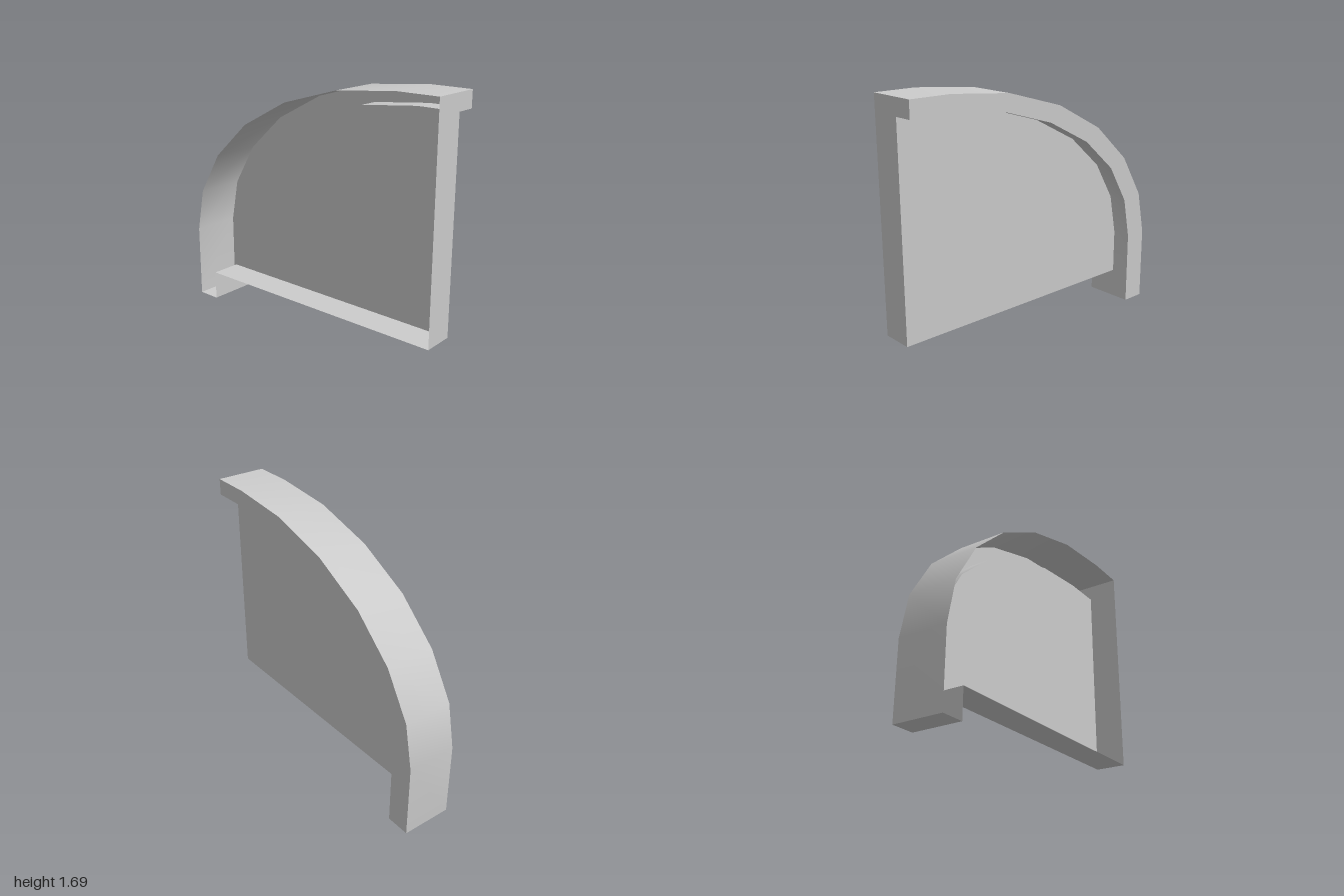
import * as THREE from 'three';

const LEFT = 0.17, PANEL = 0.04, RIGHT = -0.17;
const FOOT = 0.2; // height of the panel's lower edge

// Arch profiles as [z, y], from the front edge over the top to the back
const outer = [[1, 1.69], [0.72, 1.69], [0.29, 1.65], [-0.13, 1.53], [-0.49, 1.34],
  [-0.765, 1.09], [-0.94, 0.8], [-1, 0.5], [-1, 0]];
const inner = [[1, 1.58], [0.72, 1.58], [0.32, 1.54], [-0.05, 1.43], [-0.38, 1.26],
  [-0.63, 1.04], [-0.785, 0.78], [-0.84, 0.5], [-0.84, FOOT]];

export function createModel() {
  const group = new THREE.Group();
  const grey = new THREE.MeshStandardMaterial({ color: 0xcccccc, side: THREE.DoubleSide });
  grey.name = 'light grey';

  const add = (name, geometry) => {
    const mesh = new THREE.Mesh(geometry, grey);
    mesh.name = name;
    group.add(mesh);
  };

  // Smooth band following a [z, y] path between two x positions
  const band = (name, path, x0, x1) => {
    const pos = [], index = [];
    path.forEach(([z, y], i) => {
      pos.push(x0, y, z, x1, y, z);
      const a = i * 2;
      if (i < path.length - 1) index.push(a, a + 1, a + 2, a + 1, a + 3, a + 2);
    });
    const g = new THREE.BufferGeometry();
    g.setAttribute('position', new THREE.Float32BufferAttribute(pos, 3));
    g.setIndex(index);
    g.computeVertexNormals();
    add(name, g);
  };

  // Flat sheet with a [z, y] outline, facing +x
  const sheet = (name, outline, x) => {
    const shape = new THREE.Shape(outline.map(([z, y]) => new THREE.Vector2(-z, y)));
    add(name, new THREE.ShapeGeometry(shape).rotateY(Math.PI / 2).translate(x, 0, 0));
  };

  const innerBack = [...inner].reverse();

  // Arch: outer skin, side rim and the lip down to the recessed panel
  band('archSkin', outer, RIGHT, LEFT);
  sheet('archRim', [...outer, [-0.84, 0], ...innerBack], LEFT);
  band('archLip', innerBack, PANEL, LEFT);

  // Recessed panel with its front and lower returns; the far side stays open
  sheet('panel', [...inner, [1, FOOT]], PANEL);
  band('panelFront', [[1, FOOT], [1, 1.58]], RIGHT, PANEL);
  band('panelBottom', [[-0.84, FOOT], [1, FOOT]], RIGHT, PANEL);
  band('archFrontEnd', [[1, 1.58], [1, 1.69]], RIGHT, LEFT);

  // Foot at the back
  band('footFront', [[-0.84, 0], [-0.84, FOOT]], RIGHT, LEFT);
  band('footBottom', [[-1, 0], [-0.84, 0]], RIGHT, LEFT);

  return group;
}
